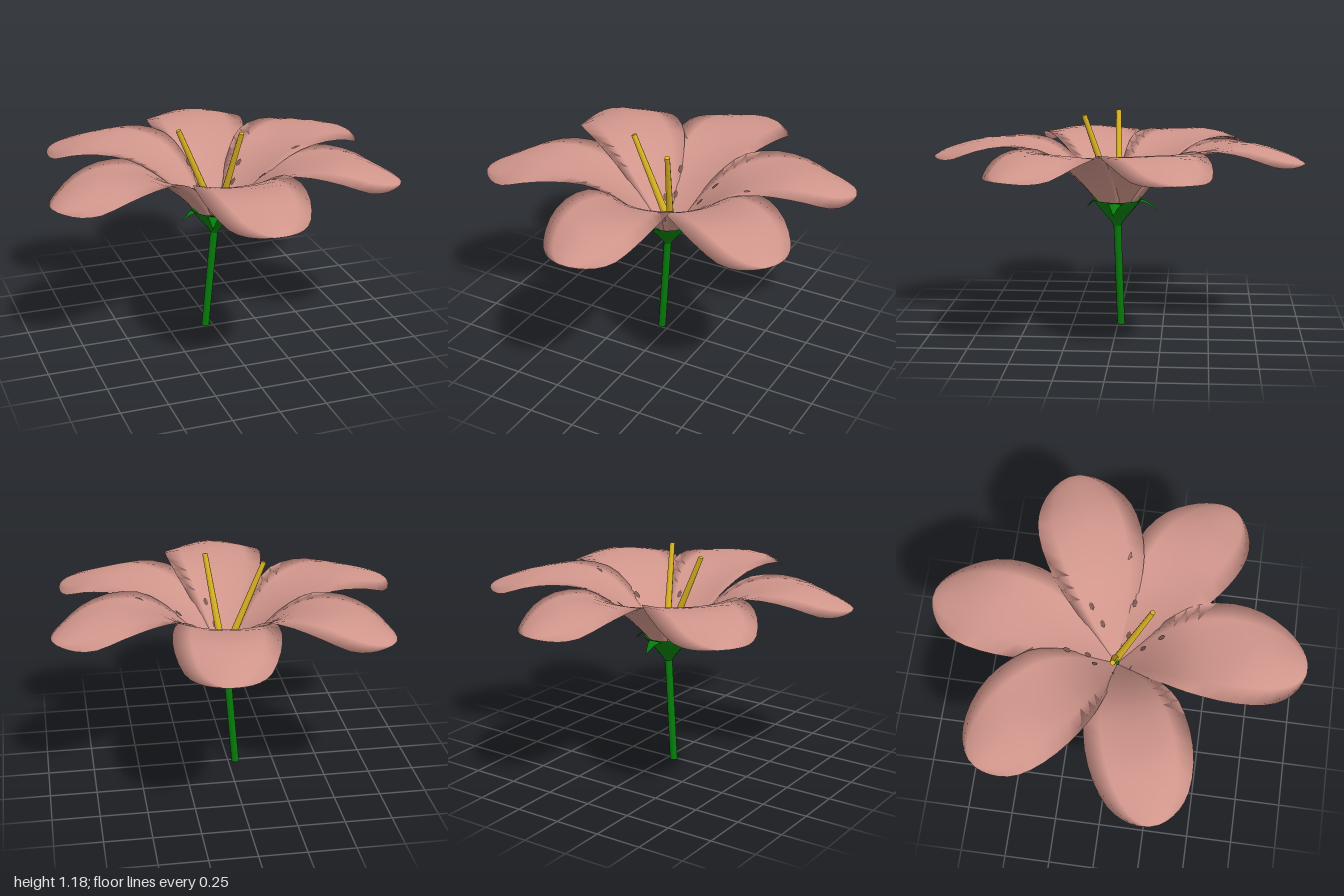
import * as THREE from 'three';

const mat = (name, color, side = THREE.FrontSide) => {
  const m = new THREE.MeshStandardMaterial({ color, side });
  m.name = name;
  return m;
};
const V2 = (x, y) => new THREE.Vector2(x, y);
const V3 = (x, y, z) => new THREE.Vector3(x, y, z);
const rad = THREE.MathUtils.degToRad;

// Petal stations: radius, midrib height, half width, rise of the edge
const stations = [
  [0.01, 0.60, 0.02, 0.0], [0.08, 0.68, 0.07, 0.02], [0.18, 0.79, 0.138, 0.045],
  [0.28, 0.88, 0.195, 0.055], [0.40, 0.955, 0.245, 0.05], [0.57, 1.005, 0.27, 0.015],
  [0.73, 1.015, 0.257, -0.025], [0.86, 0.985, 0.21, -0.045], [0.94, 0.957, 0.145, -0.03],
  [0.985, 0.94, 0.075, -0.01], [1.0, 0.932, 0.025, 0.0],
];
const midrib = new THREE.SplineCurve(stations.map((s) => V2(s[0], s[1])));
const spread = new THREE.SplineCurve(stations.map((s) => V2(s[2], s[3])));

// Point on a petal: t from base to tip, v from -1 to 1 across, layer 1 top or -1 underside
function petalPoint(t, v, layer) {
  const m = midrib.getPoint(t), s = spread.getPoint(t);
  const half = 0.014 * (1 - v * v) * Math.min(1, (1 - t) * 5);
  return V3(m.x, m.y + s.y * v * v + layer * half, s.x * v);
}

// Thin lens-shaped blade: each row is a closed ring over the top and back underneath
function petalGeometry(rows = 20, cols = 6) {
  const pos = [], index = [], ring = 2 * cols;
  for (let i = 0; i <= rows; i++)
    for (let j = 0; j < ring; j++) {
      const v = 1 - 2 * Math.abs(1 - j / cols);
      pos.push(...petalPoint(i / rows, v, j <= cols ? 1 : -1).toArray());
    }
  for (let i = 0; i < rows; i++)
    for (let j = 0; j < ring; j++) {
      const a = i * ring + j, b = i * ring + ((j + 1) % ring);
      index.push(a, b, a + ring, b, b + ring, a + ring);
    }
  const g = new THREE.BufferGeometry();
  g.setAttribute('position', new THREE.Float32BufferAttribute(pos, 3));
  g.setIndex(index);
  g.computeVertexNormals();
  return g;
}

// Tapered rod between two points
function rod(name, a, b, ra, rb, sides, material) {
  const m = new THREE.Mesh(new THREE.CylinderGeometry(rb, ra, a.distanceTo(b), sides), material);
  m.name = name;
  m.position.copy(a).lerp(b, 0.5);
  m.quaternion.setFromUnitVectors(V3(0, 1, 0), b.clone().sub(a).normalize());
  return m;
}

export function createModel() {
  const group = new THREE.Group();
  group.name = 'flower';
  const pink = mat('petalPink', 0xd0958b);
  const brown = mat('spotBrown', 0x7c5751, THREE.DoubleSide);
  const green = mat('stemGreen', 0x067c0b, THREE.DoubleSide);
  const yellow = mat('stamenYellow', 0xdcb422);

  // Petals: direction in degrees from +x towards +z, length, spots as [t, v]
  const petals = [
    [32, 0.99, [[0.27, -0.45], [0.15, -0.2]]],
    [91.5, 0.995, [[0.25, -0.5], [0.16, -0.4]]],
    [162, 0.995, []],
    [220.5, 0.985, [[0.16, 0.3]]],
    [278, 1.005, [[0.27, -0.55], [0.17, -0.5]]],
    [338.5, 0.995, [[0.27, -0.45], [0.19, -0.3]]],
  ];
  const petalGeo = petalGeometry();
  petals.forEach(([angle, length, spots], i) => {
    const petal = new THREE.Group();
    petal.name = 'petal' + (i + 1);
    petal.position.set(0.01, (i % 2) * 0.006, 0);
    petal.rotation.y = -rad(angle);
    petal.scale.set(length, 1, 1);
    const blade = new THREE.Mesh(petalGeo, pink);
    blade.name = 'petalBlade';
    petal.add(blade);
    // Small flat flecks lying on the inner face
    for (const [t, v] of spots) {
      const p = petalPoint(t, v, 1);
      const along = petalPoint(t + 0.02, v, 1).sub(p).normalize();
      const across = petalPoint(t, v + 0.05, 1).sub(p).normalize();
      const normal = across.clone().cross(along).normalize();
      const spot = new THREE.Mesh(new THREE.CircleGeometry(0.013, 6), brown);
      spot.name = 'petalSpot';
      spot.scale.set(1.9, 1, 1);
      spot.quaternion.setFromRotationMatrix(
        new THREE.Matrix4().makeBasis(along, normal.clone().cross(along), normal));
      spot.position.copy(p).addScaledVector(normal, 0.007);
      petal.add(spot);
    }
    group.add(petal);
  });

  // Stem, leaning slightly
  group.add(rod('stem', V3(-0.04, 0, -0.018), V3(0.008, 0.6, 0), 0.021, 0.021, 10, green));

  // Cup under the petals
  const cup = new THREE.Mesh(new THREE.LatheGeometry(
    [V2(0.02, 0.565), V2(0.035, 0.59), V2(0.085, 0.65), V2(0.118, 0.69), V2(0.132, 0.712)], 16), green);
  cup.name = 'calyx';
  cup.position.x = 0.008;
  group.add(cup);

  // Pointed sepals that curl down from the cup's rim
  const sepalPath = new THREE.SplineCurve([V2(0.11, 0.708), V2(0.15, 0.708), V2(0.185, 0.69), V2(0.22, 0.66)]);
  const sepalGeo = new THREE.PlaneGeometry(1, 1, 6, 2);
  const sp = sepalGeo.attributes.position;
  for (let i = 0; i < sp.count; i++) {
    const t = sp.getX(i) + 0.5, v = sp.getY(i) * 2, p = sepalPath.getPoint(t);
    sp.setXYZ(i, p.x, p.y - 0.008 * v * v, -v * 0.045 * (1 - t));
  }
  sepalGeo.computeVertexNormals();
  for (const [angle, s] of [[2, 1], [112, 0.83], [180, 0.83], [271, 0.96]]) {
    const sepal = new THREE.Mesh(sepalGeo, green);
    sepal.name = 'sepal';
    sepal.position.x = 0.008;
    sepal.rotation.y = -rad(angle);
    sepal.scale.set(s, 1, 1);
    group.add(sepal);
  }

  // Two stamens
  group.add(rod('stamenLeft', V3(0.025, 0.66, 0), V3(0.097, 1.175, 0.17), 0.021, 0.014, 8, yellow));
  group.add(rod('stamenRight', V3(0.01, 0.68, -0.012), V3(-0.195, 1.17, 0.005), 0.021, 0.014, 8, yellow));
  return group;
}
